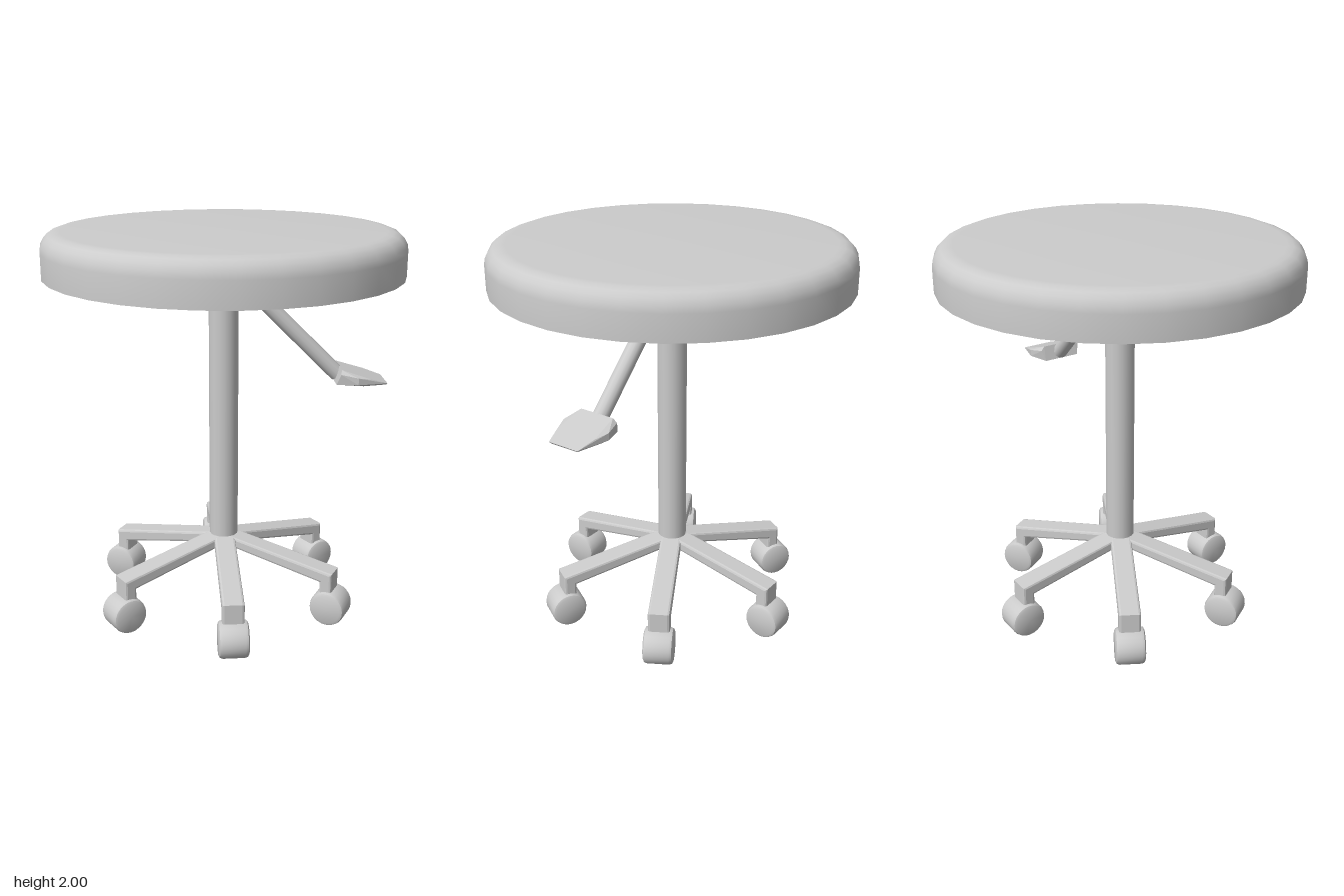
import * as THREE from 'three';
import { toCreasedNormals } from 'three/addons/utils/BufferGeometryUtils.js';
import { ConvexGeometry } from 'three/addons/geometries/ConvexGeometry.js';

const material = new THREE.MeshStandardMaterial({ color: 0xcccccc });

function part(name, geometry, parent) {
  const mesh = new THREE.Mesh(geometry, material);
  mesh.name = name;
  parent.add(mesh);
  return mesh;
}

const points = (list) => list.map(([x, y]) => new THREE.Vector2(x, y));
const lathe = (list, sides) => toCreasedNormals(new THREE.LatheGeometry(points(list), sides), 0.75);

export function createModel() {
  const model = new THREE.Group();
  model.name = 'stool';

  // Round seat with a softened top rim
  part('seat', lathe([
    [0, 1.785], [0.89, 1.785], [0.89, 1.91], [0.885, 1.94],
    [0.87, 1.967], [0.85, 1.987], [0.82, 1.998], [0.79, 2], [0, 2],
  ], 32), model);

  // Central column
  const column = part('column', new THREE.CylinderGeometry(0.075, 0.075, 1.4, 16), model);
  column.position.y = 1.09;

  // Height lever: sloping rod and flared paddle
  const lever = new THREE.Group();
  lever.name = 'lever';
  model.add(lever);
  const start = new THREE.Vector3(0.05, 1.79, 0);
  const end = new THREE.Vector3(0.585, 1.255, 0);
  const rod = part('leverRod', new THREE.CylinderGeometry(0.04, 0.04, start.distanceTo(end), 12), lever);
  rod.position.copy(start).lerp(end, 0.5);
  rod.quaternion.setFromUnitVectors(new THREE.Vector3(0, 1, 0), start.clone().sub(end).normalize());

  // Paddle corners as x, y, half width
  const corners = [];
  for (const [x, y, w] of [
    [0.59, 1.3, 0.095], [0.585, 1.28, 0.115], [0.565, 1.225, 0.1],
    [0.67, 1.265, 0.135], [0.67, 1.23, 0.135], [0.7, 1.217, 0.11],
    [0.74, 1.252, 0.11], [0.83, 1.222, 0.085], [0.825, 1.215, 0.08],
  ]) {
    corners.push(new THREE.Vector3(x, y, w), new THREE.Vector3(x, y, -w));
  }
  part('leverPaddle', new ConvexGeometry(corners), lever);

  // Leg side profile: sloping arm that turns down to the caster
  const profile = new THREE.Shape(points([
    [0, 0.345], [0.57, 0.235], [0.57, 0.15], [0.635, 0.15], [0.635, 0.29], [0, 0.4],
  ]));
  const bevel = 0.012;
  const legGeometry = new THREE.ExtrudeGeometry(profile, {
    depth: 0.11 - 2 * bevel, bevelThickness: bevel, bevelSize: bevel, bevelOffset: -bevel, bevelSegments: 2,
  });
  legGeometry.translate(0, 0, bevel - 0.055);

  // Caster wheel with rounded edges, axle across the leg
  const wheelGeometry = lathe([
    [0, -0.075], [0.076, -0.075], [0.088, -0.069], [0.093, -0.055],
    [0.093, 0.055], [0.088, 0.069], [0.076, 0.075], [0, 0.075],
  ], 24);
  wheelGeometry.rotateX(Math.PI / 2);

  // Six legs, one pointing straight to the front
  for (let i = 0; i < 6; i++) {
    const arm = new THREE.Group();
    arm.name = `leg${i + 1}`;
    arm.rotation.y = Math.PI / 6 + (i * Math.PI) / 3;
    part('legArm', legGeometry, arm);
    part('casterWheel', wheelGeometry, arm).position.set(0.617, 0.097, 0);
    model.add(arm);
  }

  return model;
}
